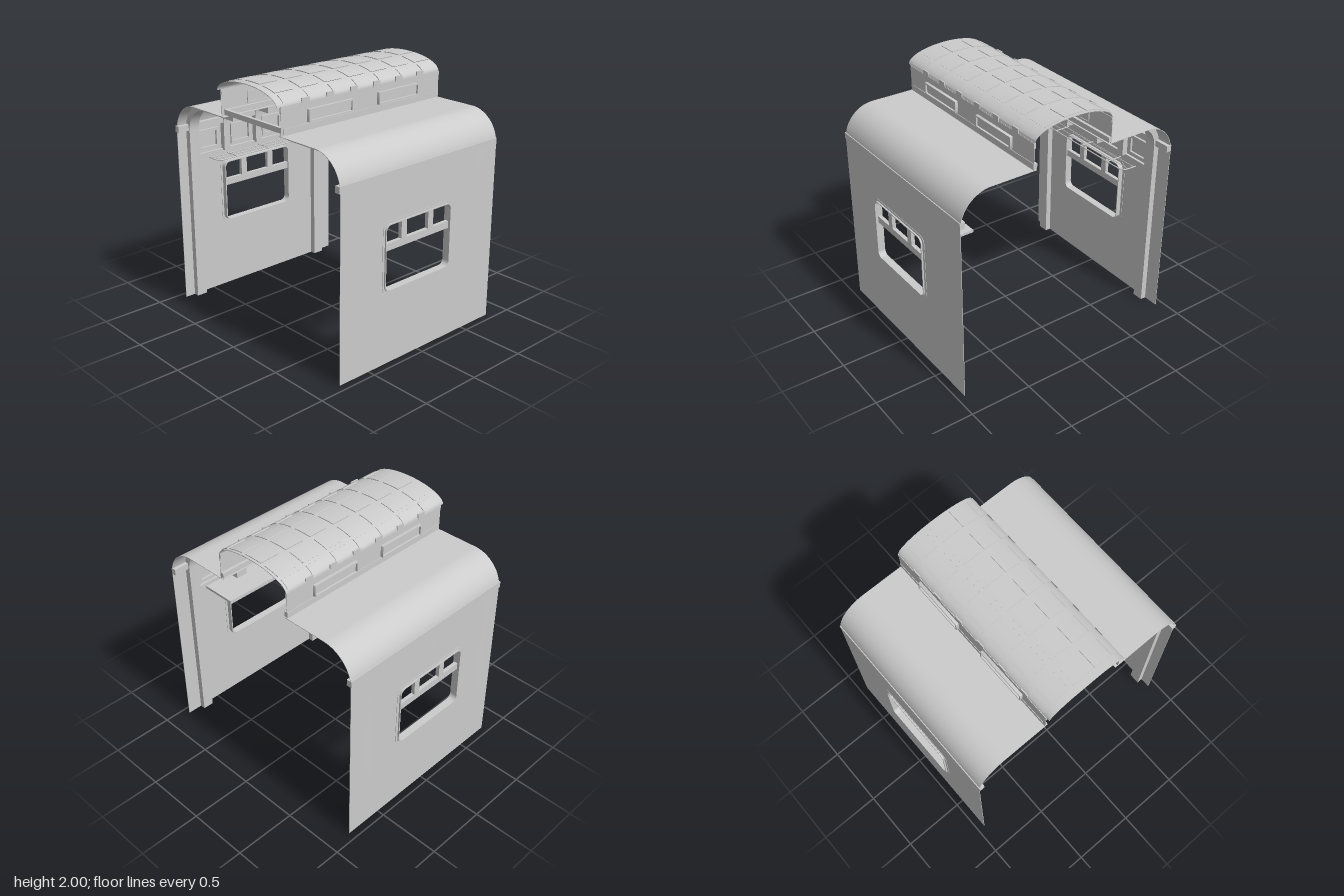
import * as THREE from 'three';
import { toCreasedNormals } from 'three/addons/utils/BufferGeometryUtils.js';

const MAT = new THREE.MeshStandardMaterial({ color: 0xcccccc, side: THREE.DoubleSide });
const BACK = -0.81, FRONT = 0.78;
const RIBS = [-0.64, -0.315, 0.01, 0.335, 0.65];

function add(parent, name, geometry) {
  const mesh = new THREE.Mesh(geometry, MAT);
  mesh.name = name;
  parent.add(mesh);
  return mesh;
}

// Box given by its limits on each axis
function box(parent, name, [x0, x1], [y0, y1], [z0, z1]) {
  const g = new THREE.BoxGeometry(x1 - x0, y1 - y0, z1 - z0);
  return add(parent, name, g.translate((x0 + x1) / 2, (y0 + y1) / 2, (z0 + z1) / 2));
}

function extrude(shape, depth) {
  const g = new THREE.ExtrudeGeometry(shape, { depth, bevelEnabled: false, curveSegments: 16 });
  return toCreasedNormals(g, 0.5);
}

// Extrude a (z, y) outline inward from x = outer
function sideways(shape, outer, depth) {
  return extrude(shape, depth).rotateY(-Math.PI / 2).translate(outer, 0, 0);
}

// Rounded rectangle; r = 0 gives square corners
function rounded(path, z0, z1, y0, y1, r) {
  path.moveTo(z0 + r, y0);
  path.lineTo(z1 - r, y0);
  if (r) path.absarc(z1 - r, y0 + r, r, -Math.PI / 2, 0);
  else path.lineTo(z1, y0);
  path.lineTo(z1, y1 - r);
  if (r) path.absarc(z1 - r, y1 - r, r, 0, Math.PI / 2);
  else path.lineTo(z1, y1);
  path.lineTo(z0 + r, y1);
  if (r) path.absarc(z0 + r, y1 - r, r, Math.PI / 2, Math.PI);
  else path.lineTo(z0, y1);
  path.lineTo(z0, y0 + r);
  if (r) path.absarc(z0 + r, y0 + r, r, Math.PI, Math.PI * 1.5);
  return path;
}

function ring(z0, z1, y0, y1, r, w) {
  const s = rounded(new THREE.Shape(), z0, z1, y0, y1, r);
  s.holes.push(rounded(new THREE.Path(), z0 + w, z1 - w, y0 + w, y1 - w, Math.max(0, r - w)));
  return s;
}

// Section of the curved roof and wall, t thick, reaching down to y = foot
function eaveSection(t, foot, inner) {
  const s = new THREE.Shape();
  s.moveTo(0.94, foot);
  s.lineTo(0.94, 1.43);
  s.absarc(0.69, 1.43, 0.25, 0, Math.PI / 2);
  s.lineTo(inner, 1.68);
  s.lineTo(inner, 1.68 - t);
  s.lineTo(0.69, 1.68 - t);
  s.absarc(0.69, 1.43, 0.25 - t, Math.PI / 2, 0, true);
  s.lineTo(0.94 - t, foot);
  return s;
}

// Curved slab of the raised roof between two angles, from offset d0 to d1
function archSlab(a0, a1, d0, d1, z0, z1) {
  const at = (a, d) => new THREE.Vector2((0.338 + d) * Math.cos(a), 1.885 + (0.108 + d) * Math.sin(a));
  const n = Math.max(4, Math.round((a1 - a0) * 10)), pts = [];
  for (let i = 0; i <= n; i++) pts.push(at(a0 + (a1 - a0) * i / n, d1));
  for (let i = n; i >= 0; i--) pts.push(at(a0 + (a1 - a0) * i / n, d0));
  return extrude(new THREE.Shape(pts), z1 - z0).translate(0, 0, z0);
}

function buildSide() {
  const side = new THREE.Group();

  // Wall sheet with window opening
  const wall = rounded(new THREE.Shape(), BACK, FRONT, 0, 1.44, 0);
  wall.holes.push(rounded(new THREE.Path(), -0.31, 0.36, 0.585, 1.095, 0.045));
  add(side, 'wall', sideways(wall, 0.94, 0.004));

  // Window surround, lining and glazing bars
  add(side, 'windowSurround', sideways(ring(-0.335, 0.38, 0.565, 1.115, 0.06, 0.025), 0.943, 0.01));
  add(side, 'windowLining', sideways(ring(-0.313, 0.363, 0.582, 1.098, 0.05, 0.008), 0.955, 0.06));
  box(side, 'windowRail', [0.905, 0.935], [0.89, 0.945], [-0.306, 0.356]);
  for (const z of [0.162, -0.112])
    box(side, 'windowMullion', [0.905, 0.935], [0.945, 1.092], [z - 0.027, z + 0.027]);

  // Roof skin and ribs; the end ribs continue down as posts
  add(side, 'roofSkin', extrude(eaveSection(0.004, 1.43, 0.315), FRONT - BACK).translate(0, 0, BACK));
  RIBS.forEach((z, i) => {
    const end = i === 0 || i === RIBS.length - 1;
    const w = end ? 0.09 : 0.06;
    add(side, end ? 'postAndRib' : 'rib',
      extrude(eaveSection(0.05, end ? 0 : 1.2, 0.315), w).translate(0, 0, z - w / 2));
  });

  // Eave moulding, lower rail and panels between the ribs
  box(side, 'eaveMoulding', [0.9, 0.942], [1.43, 1.48], [BACK, 0.79]);
  box(side, 'wallRail', [0.915, 0.938], [1.18, 1.21], [RIBS[0], RIBS[4]]);
  for (let i = 0; i < 4; i++) {
    const z0 = RIBS[i] + 0.06, z1 = RIBS[i + 1] - 0.06;
    add(side, 'wallPanelFrame', sideways(ring(z0, z1, 1.23, 1.4, 0, 0.025), 0.938, 0.02));
  }

  // Raised roof side: sheet, bottom rail and framed lights
  box(side, 'upperSide', [0.337, 0.341], [1.68, 1.89], [BACK, FRONT]);
  box(side, 'upperBottomRail', [0.315, 0.345], [1.69, 1.73], [BACK, 0.755]);
  box(side, 'upperTopRail', [0.33, 0.344], [1.845, 1.885], [BACK, FRONT]);
  for (const z of [0.33, -0.352]) {
    add(side, 'upperLightFrame', sideways(ring(z - 0.212, z + 0.212, 1.74, 1.835, 0.004, 0.012), 0.365, 0.035));
    box(side, 'upperLightPane', [0.335, 0.35], [1.75, 1.825], [z - 0.202, z + 0.202]);
  }
  return side;
}

function buildRaisedRoof() {
  const roof = new THREE.Group();
  roof.name = 'raisedRoof';
  add(roof, 'archSkin', archSlab(0, Math.PI, -0.004, 0.001, BACK, 0.81));

  // Grid of raised tiles
  const step = (Math.PI - 0.3) / 5;
  for (let row = 0; row < 7; row++) {
    const z = 0.67 - row * 0.23;
    const z0 = Math.max(z - 0.08, BACK + 0.01), z1 = Math.min(z + 0.08, 0.8);
    for (let col = 0; col < 5; col++) {
      const a = 0.15 + step * col;
      add(roof, 'roofTile', archSlab(a + 0.06, a + step - 0.06, 0, 0.007, z0, z1));
    }
  }

  // Short tabs below the eave, in line with the gaps
  for (let i = 0; i < 6; i++)
    for (const s of [-1, 1]) {
      const z = 0.555 - i * 0.23, x = s * 0.34;
      box(roof, 'eaveTab', [x - 0.005, x + 0.005], [1.875, 1.92], [z - 0.035, z + 0.035]);
    }
  return roof;
}

function buildRack() {
  const rack = new THREE.Group();
  rack.name = 'luggageRack';
  const tube = (name, pts, r = 0.005) => add(rack, name, new THREE.TubeGeometry(
    new THREE.CatmullRomCurve3(pts.map(p => new THREE.Vector3(...p)), false, 'catmullrom', 0.3), 24, r, 8));
  const y = 1.176;

  // Long rails and cross brackets with rounded ends
  tube('rackFrontRail', [[-0.89, y, 0.52], [-0.8, y, 0.52], [-0.765, y, 0.5], [-0.76, y, 0.46],
    [-0.76, y, 0], [-0.76, y, -0.44], [-0.765, y, -0.48], [-0.8, y, -0.5], [-0.89, y, -0.5]]);
  for (const x of [-0.87, -0.815]) tube('rackRail', [[x, y, 0.52], [x, y, -0.5]], 0.003);
  for (const z of [0.335, 0.01, -0.315]) tube('rackBracket', [[-0.9, y, z], [-0.76, y, z]]);
  return rack;
}

export function createModel() {
  const model = new THREE.Group();
  model.name = 'carriageSection';

  const left = buildSide();
  left.name = 'leftSide';
  const right = buildSide();
  right.name = 'rightSide';
  right.scale.x = -1;
  model.add(left, right, buildRaisedRoof(), buildRack());

  // Front cross beam and the shelf on the left wall
  box(model, 'crossBeam', [-0.345, 0.345], [1.69, 1.73], [0.73, 0.755]);
  box(model, 'shelf', [0.64, 0.935], [1.145, 1.165], [-0.51, 0.48]);
  return model;
}
